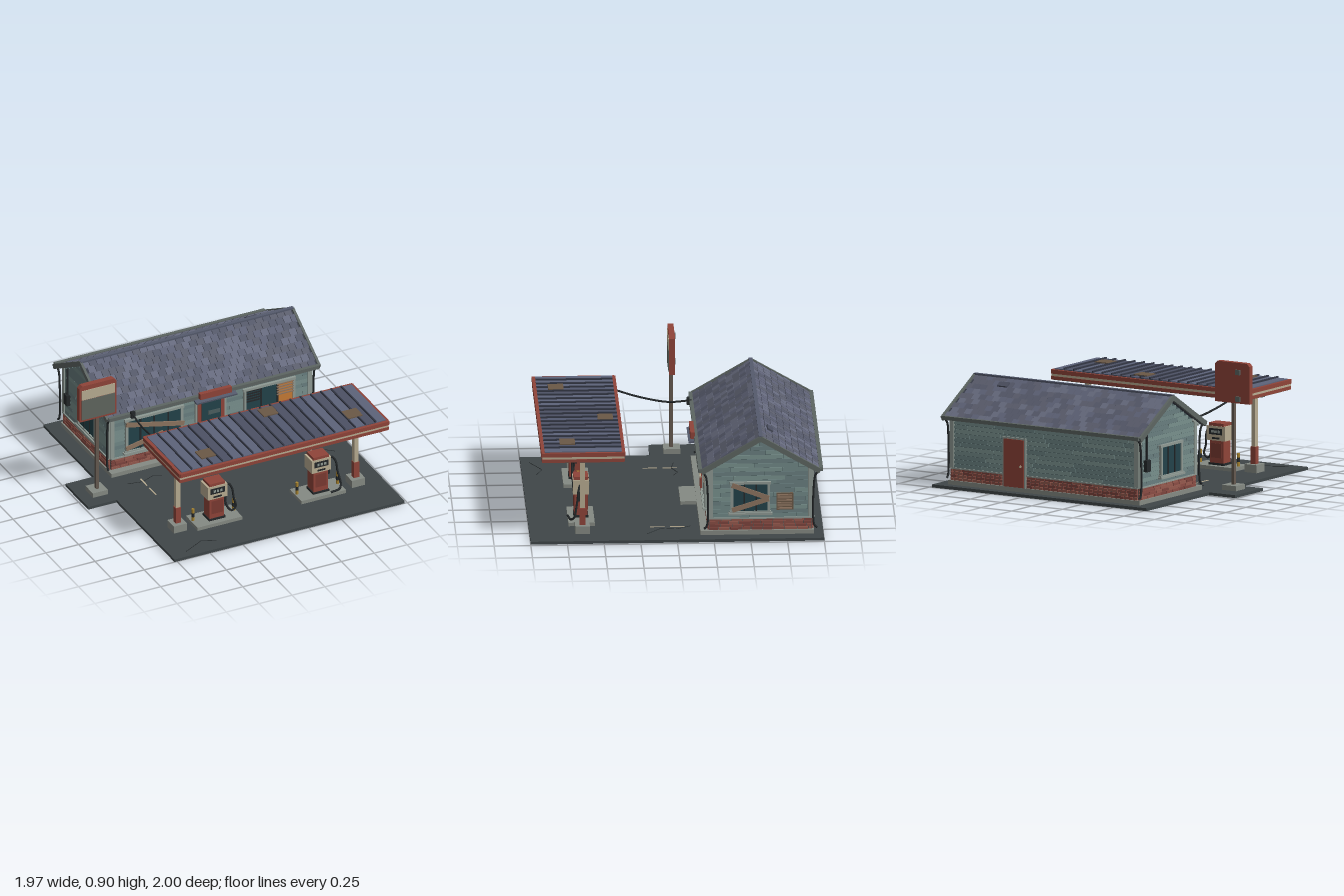
import * as THREE from 'three';
import { mergeGeometries } from 'three/addons/utils/BufferGeometryUtils.js';

const C = { asphalt: 0x3f4648, concrete: 0x858a83, red: 0x8f4439, cream: 0xb8ac92, trim: 0x8f9a94, glass: 0x23424a,
  wood: 0x8d7460, dark: 0x24282a, metal: 0x555b6d, rust: 0x6b5846, gutter: 0x5d6562, core: 0x4c5f60, mortar: 0x5d4540, orange: 0xc67a35, yellow: 0xa8842f };
const mats = {};
const mat = c => (mats[c] ??= new THREE.MeshStandardMaterial({ color: c, flatShading: true }));
let seed = 7;
const rnd = () => (seed = (seed * 16807) % 2147483647) / 2147483647;
const V = (x, y, z) => new THREE.Vector3(x, y, z);

function mesh(parent, name, geo, color) {
  const m = new THREE.Mesh(geo, mat(color));
  m.name = name;
  parent.add(m);
  return m;
}
function box(parent, name, color, w, h, d, x, y, z) {
  const m = mesh(parent, name, new THREE.BoxGeometry(w, h, d), color);
  m.position.set(x, y, z);
  return m;
}
// box given by its limits
const span = (p, name, c, x0, x1, y0, y1, z0, z1) =>
  box(p, name, c, x1 - x0, y1 - y0, z1 - z0, (x0 + x1) / 2, (y0 + y1) / 2, (z0 + z1) / 2);
// plank from a to b
function beam(p, name, c, a, b, w, d) {
  const m = box(p, name, c, w, a.distanceTo(b), d, 0, 0, 0);
  m.position.copy(a).lerp(b, 0.5);
  m.quaternion.setFromUnitVectors(V(0, 1, 0), b.clone().sub(a).normalize());
  return m;
}
function tube(p, name, c, pts, r) {
  const curve = new THREE.CatmullRomCurve3(pts.map(q => V(...q)));
  return mesh(p, name, new THREE.TubeGeometry(curve, 28, r, 6), c);
}
function group(p, name, x = 0, y = 0, z = 0, ry = 0) {
  const g = new THREE.Group();
  g.name = name;
  g.position.set(x, y, z);
  g.rotation.y = ry;
  p.add(g);
  return g;
}
// many small boxes merged into one mesh per colour
function batch(parent, name) {
  const sets = {};
  return {
    add(c, w, h, d, x, y, z, rx = 0) {
      (sets[c] ??= []).push(new THREE.BoxGeometry(w, h, d).rotateX(rx).translate(x, y, z));
    },
    flush() { for (const c in sets) mesh(parent, name, mergeGeometries(sets[c]), Number(c)); }
  };
}

// staggered rows of pieces along a wall; half(y) gives the half width at a height
function courses(parent, name, tones, y0, y1, rowH, len, half, depth, gap, tilt) {
  const b = batch(parent, name);
  for (let y = y0; y < y1 - 0.005; y += rowH) {
    const hw = half(y + rowH);
    if (hw < 0.01) continue;
    for (let x = -hw - rnd() * len; x < hw; ) {
      const l = len * (0.85 + rnd() * 0.3), a = Math.max(x, -hw), e = Math.min(x + l, hw);
      if (e - a > gap * 2) b.add(tones[Math.floor(rnd() * tones.length)], e - a - gap, rowH - 0.003, depth, (a + e) / 2, y + rowH / 2, depth / 2, tilt);
      x += l;
    }
  }
  b.flush();
}
function wall(parent, name, len, x, z, ry, gable) {
  const g = group(parent, name, x, 0, z, ry);
  const half = y => (gable && y > 0.5 ? Math.min(len / 2, (0.71 - y) / 0.6) : len / 2);
  courses(g, 'siding', [0x6b8180, 0x738a87, 0x64797a], 0.137, gable ? 0.7 : 0.495, 0.03, 0.34, half, 0.008, 0.003, -0.12);
  courses(g, 'brickBase', [0x8a4d44, 0x7d443d, 0x955a4e], 0.05, 0.125, 0.021, 0.075, half, 0.011, 0.004, 0);
  box(g, 'baseCap', C.trim, len, 0.01, 0.018, 0, 0.135, 0.008);
  for (const s of [-1, 1]) box(g, 'cornerBoard', C.trim, 0.03, 0.36, 0.014, s * (len / 2 - 0.01), 0.317, 0.007);
  return g;
}
function windowUnit(parent, x, y, w, h, panes) {
  const g = group(parent, 'window', x, y, 0.008);
  box(g, 'glass', C.glass, w, h, 0.01, 0, 0, 0.004);
  for (const s of [-1, 1]) {
    box(g, 'frameRail', C.trim, w + 0.03, 0.018, 0.022, 0, s * h / 2, 0.008);
    box(g, 'frameStile', C.trim, 0.018, h, 0.022, s * w / 2, 0, 0.008);
  }
  for (let i = 1; i < panes; i++) box(g, 'mullion', C.dark, 0.01, h, 0.016, -w / 2 + i * w / panes, 0, 0.006);
  box(g, 'sill', C.trim, w + 0.05, 0.014, 0.035, 0, -h / 2 - 0.008, 0.012);
  return g;
}
const board = (g, x0, y0, x1, y1) => beam(g, 'board', C.wood, V(x0, y0, 0.026), V(x1, y1, 0.026), 0.034, 0.008);

function buildStore(root) {
  const s = group(root, 'store');
  span(s, 'foundation', C.concrete, -0.67, 0.89, 0.02, 0.05, -0.935, -0.16);
  span(s, 'doorStep', C.concrete, -0.05, 0.26, 0.02, 0.045, -0.23, -0.05);
  // gabled body extruded along x
  const sh = new THREE.Shape([[-0.92, 0.05], [-0.22, 0.05], [-0.22, 0.5], [-0.57, 0.71], [-0.92, 0.5]].map(p => new THREE.Vector2(...p)));
  const geo = new THREE.ExtrudeGeometry(sh, { depth: 1.52, bevelEnabled: false }).rotateY(-Math.PI / 2).translate(0.87, 0, 0);
  mesh(s, 'body', geo, C.core);
  const front = wall(s, 'frontWall', 1.52, 0.11, -0.22, 0, false);
  const back = wall(s, 'backWall', 1.52, 0.11, -0.92, Math.PI, false);
  const right = wall(s, 'positiveGable', 0.7, 0.87, -0.57, Math.PI / 2, true);
  const left = wall(s, 'negativeGable', 0.7, -0.65, -0.57, -Math.PI / 2, true);

  // shop windows, boards and blinds
  const w1 = windowUnit(front, -0.435, 0.292, 0.42, 0.25, 4);
  board(w1, -0.22, 0.1, 0.22, 0.0);
  board(w1, -0.22, -0.09, 0.06, -0.03);
  const w2 = windowUnit(front, 0.44, 0.292, 0.37, 0.25, 3);
  box(w2, 'orangePanel', C.orange, 0.115, 0.235, 0.006, 0.122, 0, 0.01);
  for (let i = 0; i < 5; i++) {
    box(w2, 'blindSlat', C.dark, 0.12, 0.01, 0.008, -0.12, 0.11 - i * 0.02, 0.012);
    box(w2, 'boardSlat', C.wood, 0.13, 0.008, 0.008, 0.12, 0.11 - i * 0.02, 0.016);
  }
  const w3 = windowUnit(right, -0.07, 0.285, 0.25, 0.21, 3);
  board(w3, -0.125, 0.095, 0.125, 0.0);
  board(w3, -0.125, -0.085, 0.125, -0.005);
  box(right, 'ventFrame', C.rust, 0.115, 0.12, 0.018, 0.165, 0.255, 0.012);
  for (let i = 0; i < 6; i++) box(right, 'ventSlat', C.wood, 0.1, 0.01, 0.01, 0.165, 0.208 + i * 0.019, 0.022);
  windowUnit(left, 0.03, 0.285, 0.25, 0.21, 3);
  box(left, 'meterBox', C.dark, 0.05, 0.08, 0.03, -0.27, 0.28, 0.02);
  box(left, 'meterConduit', C.dark, 0.012, 0.22, 0.012, -0.27, 0.41, 0.016);

  // front door, kick panel and canopy sign
  const d = group(front, 'frontDoor', -0.005, 0, 0.012);
  box(d, 'doorFrame', C.trim, 0.235, 0.4, 0.016, 0, 0.25, 0);
  box(d, 'doorLeaf', C.red, 0.2, 0.385, 0.02, 0, 0.245, 0.004);
  box(d, 'doorGlass', C.glass, 0.145, 0.19, 0.006, 0, 0.315, 0.013);
  box(d, 'openPlate', C.core, 0.09, 0.03, 0.004, 0.02, 0.32, 0.017);
  box(d, 'kickPanel', 0x9a4d42, 0.145, 0.1, 0.006, 0, 0.125, 0.013);
  box(d, 'pushBar', C.cream, 0.2, 0.012, 0.012, 0, 0.2, 0.018);
  box(s, 'doorHood', C.metal, 0.31, 0.012, 0.12, 0.105, 0.475, -0.165).rotation.x = 0.15;
  box(s, 'hoodSign', C.red, 0.24, 0.045, 0.03, 0.105, 0.505, -0.135);
  box(back, 'backDoorFrame', C.trim, 0.19, 0.345, 0.02, -0.24, 0.222, 0.01);
  box(back, 'backDoor', C.red, 0.165, 0.33, 0.026, -0.24, 0.217, 0.012);
  box(back, 'doorKnob', C.cream, 0.012, 0.012, 0.02, -0.18, 0.2, 0.03);

  // roof: each slope is built flat in its own group, rows climbing to the ridge
  const ang = Math.atan2(0.24, 0.41), L = 0.475, cx = 0.105;
  for (const [side, ry] of [[1, 0], [-1, Math.PI]]) {
    const slope = group(s, 'roofSlope', cx, 0.725, -0.57, ry);
    const flat = group(slope, 'roofDeck');
    flat.rotation.x = ang;
    box(flat, 'deck', 0x3b3f4b, 1.61, 0.014, L, 0, -0.01, L / 2);
    const b = batch(flat, 'shingles'), tones = [0x5d6175, 0x666a7d, 0x545869, 0x5a5d6c];
    for (let r = 0; r < 9; r++) for (let i = 0; i < 29; i++) {
      const x = -0.79 + (i + (r % 2) * 0.5) * 0.055;
      b.add(tones[Math.floor(rnd() * 4)], 0.051, 0.006, 0.058 + rnd() * 0.01, x + 0.01, 0, L - 0.03 - r * 0.0525, 0.07);
    }
    b.flush();
    for (const e of [-1, 1]) box(flat, 'rakeBoard', C.gutter, 0.018, 0.035, L, e * 0.806, -0.008, L / 2);
    for (let i = 0; i < 24; i++) box(flat, 'rafterTail', C.trim, 0.014, 0.016, 0.09, -0.76 + i * 0.066, -0.024, L - 0.06);
    box(slope, 'gutter', C.gutter, 1.6, 0.026, 0.026, 0, -0.238, 0.412);
    for (const e of [-1, 1]) { // downpipes
      tube(slope, 'downpipe', C.dark, [[e * 0.785, -0.24, 0.405], [e * 0.785, -0.28, 0.375], [e * 0.785, -0.32, 0.366], [e * 0.785, -0.64, 0.366], [e * 0.785, -0.66, 0.385]], 0.008);
    }
  }
  box(s, 'ridgeCap', C.metal, 1.62, 0.012, 0.026, cx, 0.73, -0.57);
  box(s, 'roofPatch', 0x4a4e5e, 0.08, 0.012, 0.045, 0.63, 0.692, -0.645).rotation.x = -ang;
}

function buildCanopy(root) {
  const g = group(root, 'canopy');
  span(g, 'ceiling', 0x55584f, -0.675, 0.89, 0.555, 0.62, 0.37, 0.905);
  // fascia bands, stepped in and out
  for (const [name, c, y0, y1, o] of [['lowerFascia', C.red, 0.56, 0.583, 0.003], ['creamStripe', C.cream, 0.583, 0.6, 0], ['upperFascia', C.red, 0.6, 0.628, 0.006]]) {
    for (const z of [0.365, 0.91]) span(g, name, c, -0.68 - o, 0.895 + o, y0, y1, z - 0.007 - o, z + 0.007 + o);
    for (const x of [-0.678, 0.893]) span(g, name, c, x - 0.007 - o, x + 0.007 + o, y0, y1, 0.36, 0.915);
  }
  const tones = [0x535970, 0x5d637a, 0x4c5164];
  for (let i = 0; i < 20; i++) {
    const x = -0.667 + i * 0.0777;
    span(g, 'roofPanel', tones[Math.floor(rnd() * 3)], x, x + 0.0777, 0.62, 0.634, 0.375, 0.9);
    if (i) span(g, 'roofSeam', 0x343846, x - 0.005, x + 0.005, 0.63, 0.645, 0.375, 0.9);
  }
  for (const [x, z] of [[-0.42, 0.77], [0.21, 0.46], [0.71, 0.74]]) box(g, 'rustPatch', C.rust, 0.11, 0.008, 0.105, x, 0.644, z);
  for (const x of [-0.29, 0.5]) box(g, 'ceilingLight', C.cream, 0.24, 0.012, 0.08, x, 0.552, 0.64);
  box(g, 'ceilingBeam', C.gutter, 1.5, 0.016, 0.04, 0.107, 0.549, 0.64);
  for (const [x, s] of [[-0.57, 1], [0.785, -1]]) {
    box(g, 'postBase', C.concrete, 0.1, 0.055, 0.1, x, 0.0475, 0.64);
    box(g, 'postLower', C.red, 0.04, 0.12, 0.04, x, 0.135, 0.64);
    box(g, 'post', C.cream, 0.032, 0.47, 0.032, x, 0.32, 0.64);
    beam(g, 'brace', C.cream, V(x, 0.49, 0.64), V(x + s * 0.07, 0.55, 0.64), 0.012, 0.012);
  }
}

function buildPump(root, x, long) {
  const g = group(root, 'fuelPump', x, 0, 0.64);
  span(g, 'island', C.concrete, -0.17, 0.17, 0.02, 0.045, -0.09, 0.09);
  span(g, 'plinth', C.dark, -0.062, 0.062, 0.045, 0.06, -0.05, 0.05);
  span(g, 'cabinet', C.red, -0.055, 0.055, 0.06, 0.225, -0.045, 0.045);
  span(g, 'head', C.cream, -0.074, 0.074, 0.215, 0.315, -0.055, 0.055);
  span(g, 'cap', C.red, -0.06, 0.06, 0.315, 0.335, -0.05, 0.05);
  for (const s of [-1, 1]) {
    box(g, 'display', C.dark, 0.105, 0.042, 0.008, 0, 0.278, s * 0.055);
    for (let i = 0; i < 3; i++) box(g, 'readout', C.trim, 0.016, 0.018, 0.004, -0.025 + i * 0.025, 0.278, s * 0.06);
    box(g, 'keyStrip', C.dark, 0.06, 0.012, 0.006, 0, 0.232, s * 0.055);
    box(g, 'accessPanel', 0x7a3a31, 0.085, 0.1, 0.006, 0, 0.145, s * 0.045);
    for (const y of [0.05, 0.08, 0.11]) { // striped bollards
      const b = mesh(g, 'bollard', new THREE.CylinderGeometry(0.011, 0.011, 0.03, 8), y === 0.08 ? C.dark : C.yellow);
      b.position.set(s * 0.155, y + 0.012, -0.01);
    }
  }
  box(g, 'nozzleHolster', C.dark, 0.02, 0.07, 0.035, 0.07, 0.2, 0.01);
  const end = long ? [[0.15, 0.075, 0.05], [0.13, 0.055, 0.07], [0.05, 0.056, 0.09]] : [[0.15, 0.1, 0.03], [0.12, 0.075, 0.03], [0.085, 0.12, 0.02], [0.075, 0.19, 0.01]];
  tube(g, 'hose', C.dark, [[0.07, 0.27, 0], [0.1, 0.285, 0.01], [0.125, 0.25, 0.02], [0.135, 0.17, 0.03], ...end], 0.008);
}

function buildSign(root) {
  const g = group(root, 'roadSign', -0.845, 0, -0.035);
  span(g, 'base', C.concrete, -0.057, 0.057, 0.02, 0.055, -0.06, 0.055);
  span(g, 'pole', 0x655a50, -0.011, 0.011, 0.05, 0.63, -0.013, 0.013);
  const a = 0.14, c = 0.12;
  const sh = new THREE.Shape([[-a, 0.62], [a, 0.62], [a, 0.88], [c, 0.9], [-c, 0.9], [-a, 0.88]].map(p => new THREE.Vector2(...p)));
  mesh(g, 'signBox', new THREE.ExtrudeGeometry(sh, { depth: 0.04, bevelEnabled: false }).translate(0, 0, -0.02), C.red);
  span(g, 'creamPanel', C.cream, -0.125, 0.125, 0.792, 0.865, 0.018, 0.024);
  span(g, 'greyPanel', 0x60665f, -0.125, 0.125, 0.635, 0.788, 0.018, 0.024);
  for (const y of [0.835, 0.65]) box(g, 'junctionBox', C.gutter, 0.035, 0.035, 0.014, -0.05, y, -0.025);
}

export function createModel() {
  const root = new THREE.Group();
  root.name = 'fuelStation';
  span(root, 'forecourt', C.asphalt, -0.77, 0.98, 0, 0.02, -1, 1);
  span(root, 'signPad', C.asphalt, -0.985, -0.77, 0, 0.02, -0.23, 0.115);
  // worn parking lines and cracks
  for (const x of [-0.5, 0.71]) for (const z of [-0.01, 0.125]) box(root, 'parkingLine', C.cream, 0.01, 0.003, 0.1, x, 0.021, z);
  for (const path of [[[0.7, -0.1], [0.76, 0], [0.74, 0.1], [0.85, 0.2]], [[-0.61, -0.04], [-0.5, -0.02], [-0.41, -0.06], [-0.35, -0.03]], [[-0.65, 0.94], [-0.5, 0.86], [-0.4, 0.9]]])
    for (let i = 1; i < path.length; i++) beam(root, 'crack', C.dark, V(path[i - 1][0], 0.02, path[i - 1][1]), V(path[i][0], 0.02, path[i][1]), 0.005, 0.003);
  buildStore(root);
  buildCanopy(root);
  buildPump(root, -0.29, false);
  buildPump(root, 0.5, true);
  buildSign(root);
  // sagging power cable
  tube(root, 'powerCable', C.dark, [[-0.57, 0.565, 0.36], [-0.55, 0.52, 0.2], [-0.53, 0.487, 0], [-0.52, 0.5, -0.16]], 0.007);
  box(root, 'cableBracket', C.dark, 0.03, 0.05, 0.02, -0.52, 0.495, -0.137);
  return root;
}
